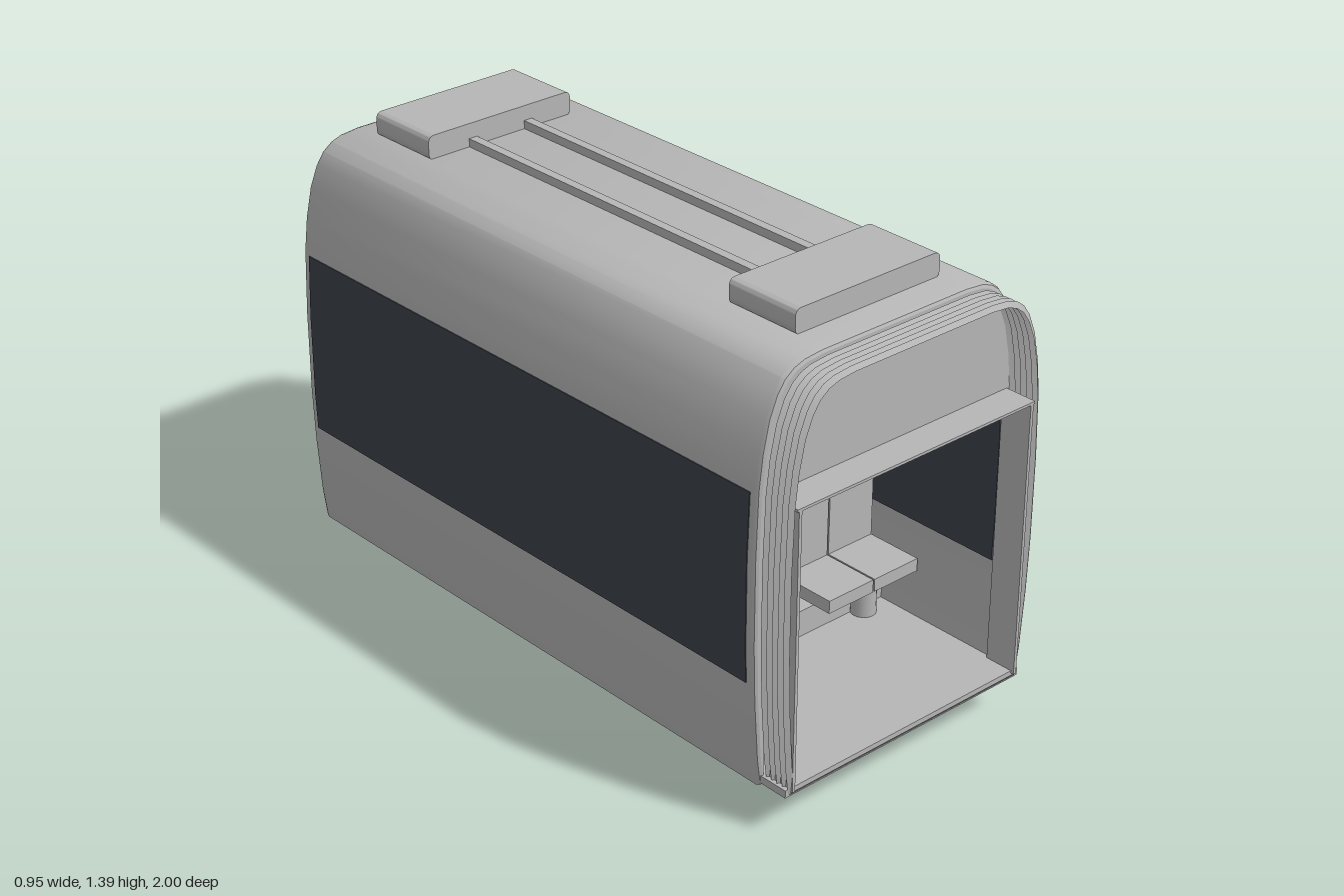
import * as THREE from 'three';
import { toCreasedNormals } from 'three/addons/utils/BufferGeometryUtils.js';

const grey = new THREE.MeshStandardMaterial({ color: 0xb6b6b6, side: THREE.DoubleSide });
grey.name = 'paintGrey';
const glass = new THREE.MeshStandardMaterial({ color: 0x3c434a });
glass.name = 'darkGlass';

// Half cross-section of the car body, from sill to roof edge
const half = [[0.443, 0.115], [0.455, 0.2], [0.468, 0.38], [0.474, 0.55], [0.474, 0.8], [0.467, 1.0],
  [0.455, 1.1], [0.435, 1.19], [0.41, 1.25], [0.385, 1.285], [0.355, 1.307], [0.32, 1.319], [0.26, 1.325]];
const section = [...half, ...half.map(([x, y]) => [-x, y]).reverse()];
const MID = 0.72;
const inset = (i) => section.map(([x, y]) => [x * (1 - i / 0.474), MID + (y - MID) * (1 - i / 0.605)]);

function xAt(y) {
  const k = half.findIndex((p) => p[1] >= y);
  const [a, b] = [half[k - 1], half[k]];
  return a[0] + (b[0] - a[0]) * (y - a[1]) / (b[1] - a[1]);
}

// Skin through copies of the section; each ring is [z, inset]
function loft(rings, crease = 0.5) {
  const pos = [], index = [], n = section.length;
  rings.forEach(([z, i]) => inset(i).forEach(([x, y]) => pos.push(x, y, z)));
  for (let j = 0; j < rings.length - 1; j++) {
    for (let i = 0; i < n; i++) {
      const a = j * n + i, b = j * n + (i + 1) % n;
      index.push(a, b, a + n, b, b + n, a + n);
    }
  }
  const g = new THREE.BufferGeometry();
  g.setAttribute('position', new THREE.Float32BufferAttribute(pos, 3));
  g.setIndex(index);
  return toCreasedNormals(g, crease);
}

function add(parent, name, geometry, x = 0, y = 0, z = 0, material = grey) {
  const m = new THREE.Mesh(geometry, material);
  m.name = name;
  m.position.set(x, y, z);
  parent.add(m);
  return m;
}

// Box given by its limits
function box(parent, name, x0, x1, y0, y1, z0, z1, material = grey) {
  return add(parent, name, new THREE.BoxGeometry(x1 - x0, y1 - y0, z1 - z0),
    (x0 + x1) / 2, (y0 + y1) / 2, (z0 + z1) / 2, material);
}

function extrude(shape, depth) {
  return toCreasedNormals(new THREE.ExtrudeGeometry(shape, { depth, bevelEnabled: false, curveSegments: 8 }), 0.6);
}

function roundRect(path, x0, x1, y0, y1, r0, r1) {
  path.moveTo(x0 + r0, y0);
  path.lineTo(x1 - r0, y0);
  path.quadraticCurveTo(x1, y0, x1, y0 + r0);
  path.lineTo(x1, y1 - r1);
  path.quadraticCurveTo(x1, y1, x1 - r1, y1);
  path.lineTo(x0 + r1, y1);
  path.quadraticCurveTo(x0, y1, x0, y1 - r1);
  path.lineTo(x0, y0 + r0);
  path.quadraticCurveTo(x0, y0, x0 + r0, y0);
  return path;
}

// Cylinder lying along x
function drum(parent, name, r, length, x, y, z, sides = 24) {
  const m = add(parent, name, new THREE.CylinderGeometry(r, r, length, sides), x, y, z);
  m.rotation.z = Math.PI / 2;
  return m;
}

function pair(parent, name, zBack, dir, side) {
  // Two seats side by side, facing along dir
  const g = new THREE.Group();
  g.name = name;
  for (const x of [0.172, 0.347]) {
    const c = side * x, w = 0.085;
    box(g, 'seatBack', c - w, c + w, 0.29, 0.66, -0.018, 0.018);
    box(g, 'seatCushion', c - w, c + w, 0.29, 0.33, 0.018, 0.2);
  }
  const leg = add(g, 'seatPedestal', new THREE.CylinderGeometry(0.038, 0.038, 0.15, 16), side * 0.335, 0.215, 0.09);
  leg.name = 'seatPedestal';
  g.position.z = zBack;
  g.scale.z = dir;
  parent.add(g);
}

export function createModel() {
  const car = new THREE.Group();
  car.name = 'tramSection';

  // Body shell: outer skin with rounded ends, and inner lining
  add(car, 'bodyShell', loft([[-1, 0.012], [-0.996, 0.004], [-0.985, 0], [0.885, 0], [0.896, 0.004], [0.9, 0.012]]));
  add(car, 'innerLining', loft([[0.89, 0.02], [-0.99, 0.02]]));
  box(car, 'floor', -0.44, 0.44, 0.125, 0.148, -0.995, 0.99);

  // End walls with a rounded gangway opening
  for (const [name, z] of [['rearEndWall', -1], ['frontEndWall', 0.886]]) {
    const wall = new THREE.Shape(inset(0.012).map(([x, y]) => new THREE.Vector2(x, y)));
    wall.holes.push(roundRect(new THREE.Path(), -0.433, 0.433, 0.146, 0.98, 0.006, 0.09));
    add(car, name, extrude(wall, 0.014), 0, 0, z);
  }

  // Pleated gangway bellows with an inner frame
  const pleats = [];
  for (let k = 0; k <= 10; k++) pleats.push([0.9 + k * 0.01, k % 2 ? 0.014 : 0.028]);
  add(car, 'bellows', loft(pleats, 0.3));
  box(car, 'gangwayLintel', -0.43, 0.43, 0.972, 0.98, 0.9, 1);
  for (const s of [-1, 1]) box(car, 'gangwayJamb', s * 0.42 - 0.005, s * 0.42 + 0.005, 0.14, 0.972, 0.9, 1);

  // Long side windows following the wall curve
  const ys = [0.435, 0.55, 0.8, 0.9, 0.99];
  for (const s of [-1, 1]) {
    const outer = ys.map((y) => new THREE.Vector2(s * (xAt(y) + 0.003), y));
    const inner = ys.map((y) => new THREE.Vector2(s * (xAt(y) - 0.026), y)).reverse();
    add(car, 'sideWindow', extrude(new THREE.Shape([...outer, ...inner]), 1.84), 0, 0, -0.97, glass);
  }

  // Roof equipment and the two conduits between
  for (const z of [-0.905, 0.56]) {
    add(car, 'roofUnit', extrude(roundRect(new THREE.Shape(), -0.257, 0.257, 1.322, 1.395, 0.022, 0.022), 0.24), 0, 0, z);
  }
  for (const s of [-1, 1]) box(car, 'roofConduit', s * 0.1 - 0.014, s * 0.1 + 0.014, 1.315, 1.35, -0.67, 0.565);

  // Cabin: one seating bay above each axle
  for (const z of [0.31, -0.4]) {
    for (const s of [-1, 1]) {
      const [a, b] = s > 0 ? [0.075, 0.44] : [-0.44, -0.075];
      box(car, 'wheelBox', a, b, 0.145, 0.23, z - 0.17, z + 0.17);
      box(car, 'floorHatch', s * 0.19 - 0.022, s * 0.19 + 0.022, 0.23, 0.236, z - 0.03, z + 0.03);
      pair(car, 'seatPairForward', z + 0.1, 1, s);
      pair(car, 'seatPairRearward', z - 0.1, -1, s);
    }
    box(car, 'raisedAisle', -0.08, 0.08, 0.145, 0.208, z - 0.13, z + 0.13);
  }

  // Handrails and hanging display
  for (const s of [-1, 1]) {
    const rail = add(car, 'handrail', new THREE.CylinderGeometry(0.005, 0.005, 1.6, 8), s * 0.165, 0.81, -0.05);
    rail.rotation.x = Math.PI / 2;
  }
  box(car, 'displayCase', -0.122, 0.122, 0.86, 0.946, -0.075, -0.025);
  for (const z of [-0.077, -0.025]) box(car, 'displayScreen', -0.11, 0.11, 0.867, 0.94, z, z + 0.002, glass);
  add(car, 'displayRod', new THREE.CylinderGeometry(0.005, 0.005, 0.37, 8), 0, 1.125, -0.05);

  // Running gear
  for (const z of [0.31, -0.4]) {
    for (const s of [-1, 1]) {
      drum(car, 'wheelTread', 0.115, 0.04, s * 0.305, 0.127, z, 32);
      drum(car, 'wheelFlange', 0.124, 0.012, s * 0.289, 0.127, z, 32);
      drum(car, 'brakeDisc', 0.078, 0.018, s * 0.19, 0.127, z);
      box(car, 'axleBearing', s * 0.348 - 0.022, s * 0.348 + 0.022, 0.095, 0.13, z - 0.05, z + 0.05);
    }
    drum(car, 'axle', 0.018, 0.66, 0, 0.117, z, 12);
  }
  for (const z of [0.135, -0.225]) drum(car, 'motor', 0.052, 0.24, 0, 0.124, z, 12);

  return car;
}
